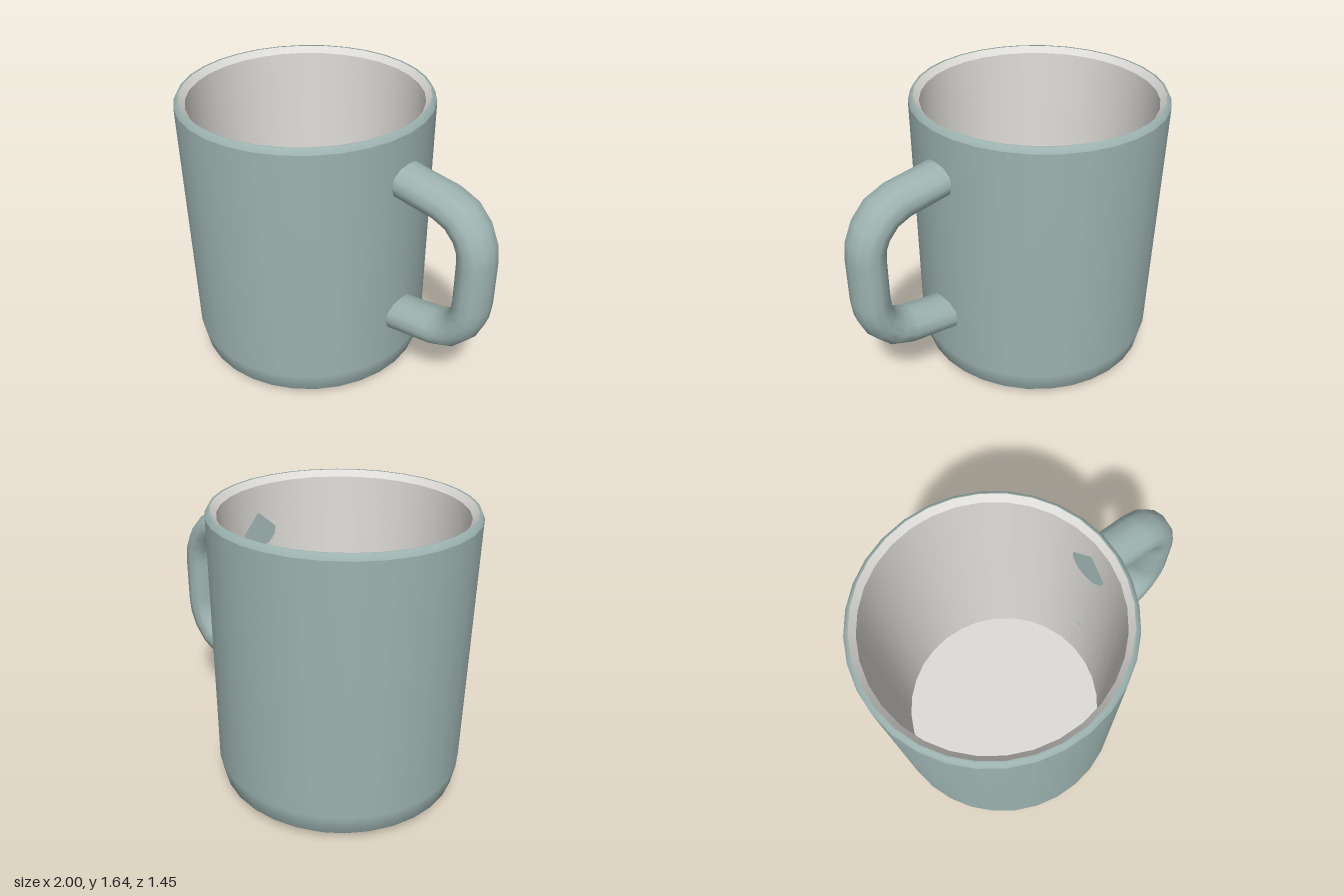
import * as THREE from 'three';

const SEGMENTS = 32;
const CENTRE_X = -0.28;

// Surface of revolution about the cup axis; profile is a list of [radius, y].
function lathe(name, profile, material) {
  const points = profile.map(([r, y]) => new THREE.Vector2(r, y));
  const mesh = new THREE.Mesh(new THREE.LatheGeometry(points, SEGMENTS), material);
  mesh.name = name;
  mesh.position.x = CENTRE_X;
  return mesh;
}

// Sweeps an ellipse along a path in the xy plane, mitred at each bend, with closed ends.
function sweepEllipse(path, inPlane, depth, sides) {
  const pos = [];
  const index = [];
  const last = path.length - 1;
  const rings = path.map((p, i) => {
    const before = new THREE.Vector2().subVectors(path[Math.max(i, 1)], path[Math.max(i, 1) - 1]).normalize();
    const k = Math.min(i, last - 1);
    const after = new THREE.Vector2().subVectors(path[k + 1], path[k]).normalize();
    const t = before.clone().add(after).normalize();
    const mitre = inPlane / t.dot(after);
    return Array.from({ length: sides }, (_, j) => {
      const a = (j / sides) * Math.PI * 2;
      const c = Math.cos(a) * mitre;
      return [p.x - t.y * c, p.y + t.x * c, Math.sin(a) * depth];
    });
  });
  rings.forEach((ring) => ring.forEach((v) => pos.push(...v)));
  for (let i = 0; i < last; i++) {
    for (let j = 0; j < sides; j++) {
      const n = (j + 1) % sides;
      const a = i * sides + j, b = i * sides + n;
      index.push(a, b, b + sides, a, b + sides, a + sides);
    }
  }
  // End caps use their own vertices so their edges stay sharp.
  for (const end of [0, last]) {
    const start = pos.length / 3;
    rings[end].forEach((v) => pos.push(...v));
    for (let j = 1; j < sides - 1; j++) {
      if (end === 0) index.push(start, start + j + 1, start + j);
      else index.push(start, start + j, start + j + 1);
    }
  }
  const geometry = new THREE.BufferGeometry();
  geometry.setAttribute('position', new THREE.Float32BufferAttribute(pos, 3));
  geometry.setIndex(index);
  geometry.computeVertexNormals();
  return geometry;
}

export function createModel() {
  const glaze = new THREE.MeshStandardMaterial({ color: 0x9db3b0 });
  glaze.name = 'sage glaze';
  const lining = new THREE.MeshStandardMaterial({ color: 0xdedcd8 });
  lining.name = 'off-white lining';

  const mug = new THREE.Group();
  mug.name = 'mug';

  // Outside of the cup
  mug.add(
    lathe('base', [[0, 0], [0.635, 0]], glaze),
    lathe('outerWall', [[0.635, 0], [0.69, 0.05], [0.714, 0.17], [0.724, 1.615]], glaze),
    lathe('lip', [[0.724, 1.615], [0.708, 1.645], [0.695, 1.645]], glaze),
  );

  // Inside of the cup
  mug.add(
    lathe('innerRim', [[0.695, 1.645], [0.664, 1.61]], lining),
    lathe('innerWall', [[0.664, 1.61], [0.622, 0.1]], lining),
    lathe('innerFloor', [[0.622, 0.1], [0, 0.1]], lining),
  );

  // Handle: upper half of the centre line, mirrored about its middle height
  const upper = [[0.365, 1.35], [0.69, 1.304], [0.785, 1.265], [0.855, 1.19], [0.89, 1.11], [0.9, 1.03]];
  const lower = upper.map(([x, y]) => [x, 1.8 - y]).reverse();
  const path = [...upper, ...lower].map(([x, y]) => new THREE.Vector2(x, y));
  const handle = new THREE.Mesh(sweepEllipse(path, 0.1, 0.127, 12), glaze);
  handle.name = 'handle';
  mug.add(handle);

  return mug;
}
